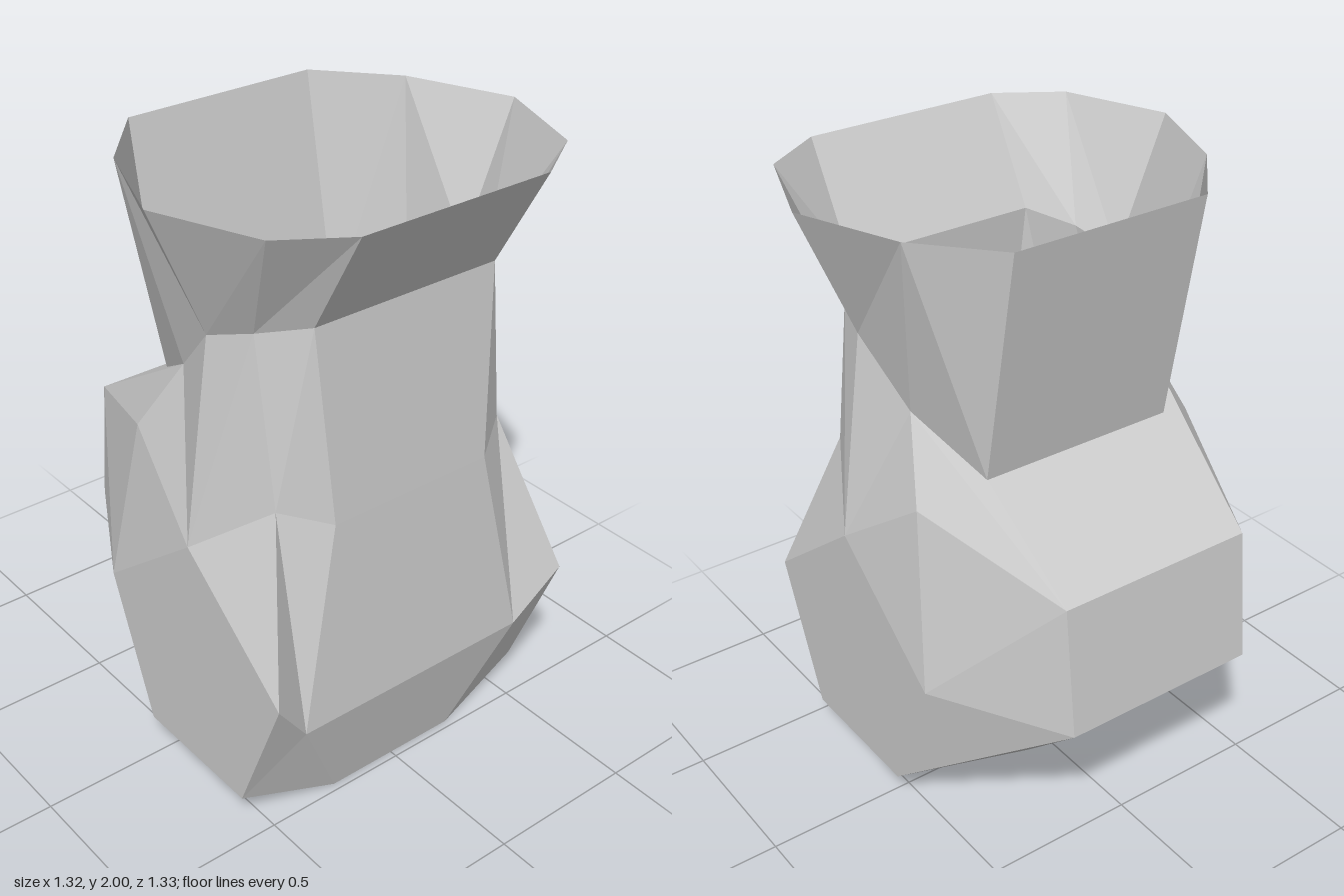
import * as THREE from 'three';

// Corner points of the +x half; the -x half is mirrored
const P = {
  // flared rim
  R1: [0.33, 2, 0.66], R2: [0.53, 2, 0.53], R3: [0.66, 2, 0.19], R4: [0.53, 2, -0.15], R5: [0.33, 2, -0.38],
  // neck
  K: [0.33, 1.67, 0.475], T: [0.43, 1.63, 0.34], S: [0.48, 1.58, 0.19], N: [0.43, 1.39, 0], U: [0.33, 1.24, -0.24],
  // chest and sides
  X: [0.29, 1.05, 0.525], C: [0.43, 1.1, 0.43], L: [0.43, 0.38, 0.57], D: [0.57, 0.57, 0.62],
  A: [0.57, 0.91, 0.19], M: [0.51, 1.15, -0.14], E: [0.57, 0.57, -0.24],
  // rear bulge
  V: [0.33, 1, -0.62], W: [0.33, 0.57, -0.665],
  // bottom opening and recess
  G: [0.57, 0.1, 0.43], H: [0.57, 0.1, -0.05], J: [0.24, 0, 0.475], B: [0.24, 0.05, -0.095],
  Q: [0.19, 0.15, -0.24], I: [0.19, 0.64, -0.3],
};

const material = new THREE.MeshStandardMaterial({
  color: 0xcccccc, flatShading: true, side: THREE.DoubleSide,
});

// A leading "-" takes the mirrored corner
function corner(key) {
  if (key[0] !== '-') return P[key];
  const [x, y, z] = P[key.slice(1)];
  return [-x, y, z];
}

// Side faces are mirrored; centre faces span both halves
function shell(name, sides, centres) {
  const positions = [];
  const addFace = (keys) => {
    for (let i = 1; i < keys.length - 1; i++) {
      for (const k of [keys[0], keys[i], keys[i + 1]]) positions.push(...corner(k));
    }
  };
  for (const face of sides) {
    const keys = face.split(' ');
    addFace(keys);
    addFace(keys.map((k) => '-' + k).reverse());
  }
  for (const face of centres) addFace(face.split(' '));
  const geometry = new THREE.BufferGeometry();
  geometry.setAttribute('position', new THREE.Float32BufferAttribute(positions, 3));
  geometry.computeVertexNormals();
  const mesh = new THREE.Mesh(geometry, material);
  mesh.name = name;
  return mesh;
}

export function createModel() {
  const model = new THREE.Group();
  model.name = 'facetedShell';
  model.add(
    shell('flaredCollar', ['K T R2 R1', 'T S R3 R2', 'S R4 R3'], ['-K K R1 -R1']),
    shell('neck',
      ['S N R4', 'N U R4', 'U R5 R4', 'C T K', 'C A T', 'A S T', 'A N S'],
      ['U -U -R5 R5']),
    shell('frontPanel', ['X C K', 'X L C'], ['-L L X -X', '-X X K -K']),
    shell('body',
      ['L D C', 'D A C', 'D E A', 'G H E D', 'L G D', 'L J G', 'A M N', 'A E M'],
      ['-J J L -L']),
    shell('rearBulge',
      ['E V M', 'E W V', 'H W E', 'M V N', 'N V U'],
      ['V -V -U U', 'W -W -V V']),
    // open base with a hollow under the rear bulge
    shell('underside',
      ['G J B H', 'H B Q', 'H Q W', 'Q I W'],
      ['B -B -Q Q', 'Q -Q -I I', 'I -I -W W']),
  );
  return model;
}
